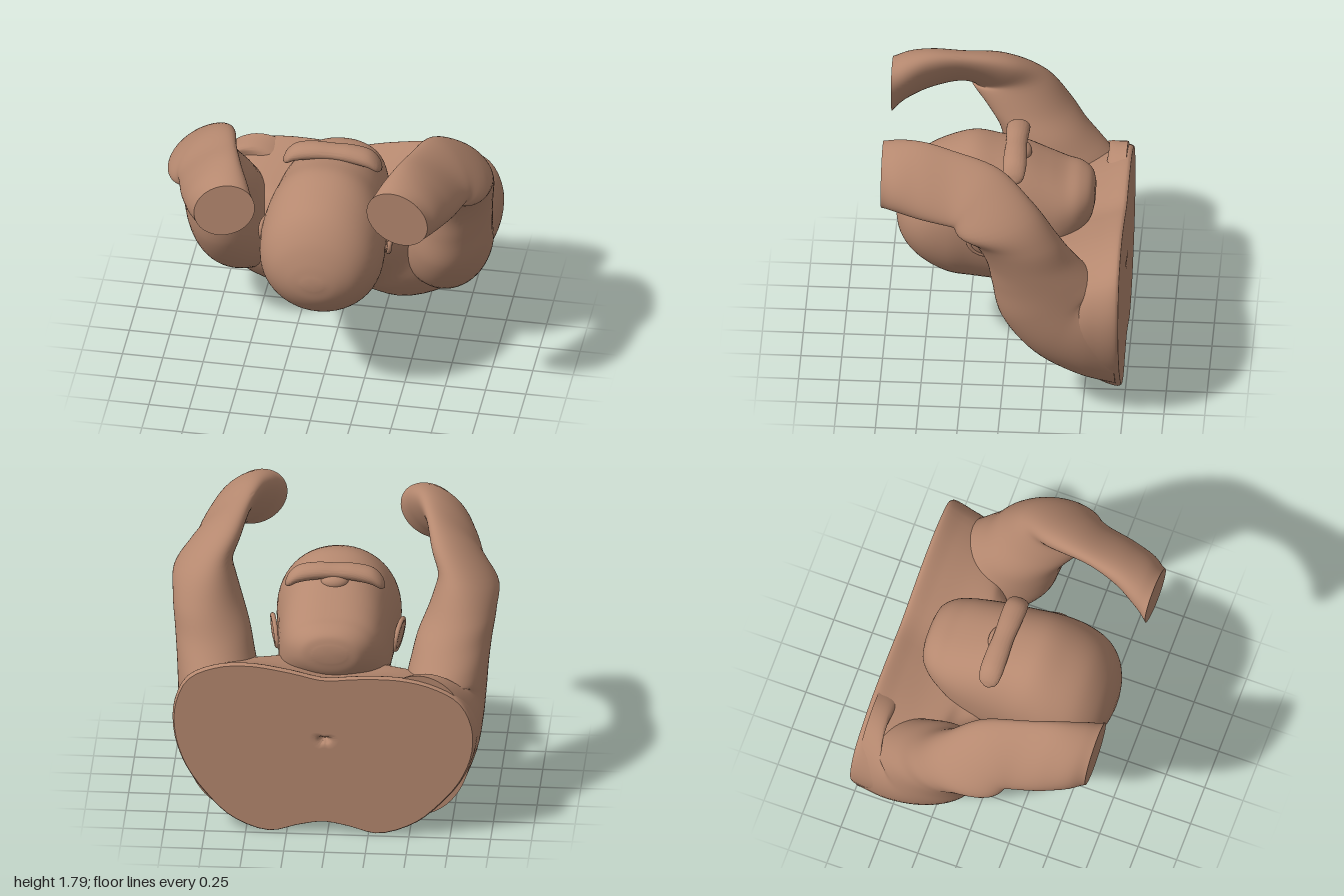
import * as THREE from 'three';
import { toCreasedNormals } from 'three/addons/utils/BufferGeometryUtils.js';

const V = (x, y, z) => new THREE.Vector3(x, y, z);
const SEG = 56;

// Smooth skin through rings of points, with flat fans closing the ends.
function loft(rings, steps = 6, capStart = true, capEnd = true) {
  const n = rings[0].length;
  const rows = (rings.length - 1) * steps;
  const pos = [];
  const idx = [];
  const curves = rings[0].map((_, j) => new THREE.CatmullRomCurve3(rings.map((r) => r[j])));
  for (let i = 0; i <= rows; i++) {
    for (let j = 0; j < n; j++) {
      const p = steps === 1 ? rings[i][j] : curves[j].getPoint(i / rows);
      pos.push(p.x, p.y, p.z);
    }
  }
  for (let i = 0; i < rows; i++) {
    for (let j = 0; j < n; j++) {
      const k = (j + 1) % n;
      const a = i * n + j, b = i * n + k, c = a + n, d = b + n;
      idx.push(a, c, b, b, c, d);
    }
  }
  const fan = (ring, base, flip) => {
    const c = ring.reduce((s, p) => s.add(p), V(0, 0, 0)).divideScalar(n);
    const ci = pos.length / 3;
    pos.push(c.x, c.y, c.z);
    for (let j = 0; j < n; j++) {
      const a = base + j, b = base + (j + 1) % n;
      idx.push(ci, flip ? b : a, flip ? a : b);
    }
  };
  if (capStart) fan(rings[0], 0, false);
  if (capEnd) fan(rings[rings.length - 1], rows * n, true);
  const g = new THREE.BufferGeometry();
  g.setAttribute('position', new THREE.Float32BufferAttribute(pos, 3));
  g.setIndex(idx);
  return toCreasedNormals(g, 0.8);
}

// Oval ring from a centre and two half-axes; power below 1 squares it off.
function oval(c, u, v, power = 1, dir = 1) {
  const bend = (t) => Math.sign(t) * Math.abs(t) ** power;
  return Array.from({ length: SEG }, (_, j) => {
    const a = dir * j / SEG * Math.PI * 2;
    return c.clone().addScaledVector(u, bend(Math.cos(a))).addScaledVector(v, bend(Math.sin(a)));
  });
}

export function createModel() {
  const group = new THREE.Group();
  const skin = new THREE.MeshStandardMaterial({ color: 0xb5886f });
  const add = (name, geometry, parent = group) => {
    const m = new THREE.Mesh(geometry, skin);
    m.name = name;
    parent.add(m);
    return m;
  };

  // Torso: a two-lobed outline, its chest slightly tilted, shrinking towards the neck
  const half = [[0, .07], [.15, .045], [.33, 0], [.55, .08], [.7, .22], [.83, .4], [.9, .6],
    [.9, .8], [.82, .97], [.65, 1.06], [.45, 1.09], [.2, 1.07], [0, 1.04]];
  const outline = [...half, ...half.slice(1, -1).reverse().map(([x, y]) => [-x, y])].reverse();
  const outlineCurve = new THREE.CatmullRomCurve3(outline.map(([x, y]) => V(x, y + .07 * x * y, 0)), true);
  const base = outlineCurve.getPoints(80).slice(0, 80);
  const torsoRing = ([z, lo, hi, w, shift = 0]) =>
    base.map((p) => V(p.x * w / .9 + shift, lo + p.y / 1.13 * (hi - lo), z));
  const waist = [-.73, .01, 1.12, .905, .025];
  add('torso', loft([
    waist, [-.71, 0, 1.13, .915, .025], [-.6, .04, 1.08, .915, .015], [-.45, .14, 1.02, .89],
    [-.31, .28, .98, .74], [-.22, .38, .96, .48], [-.1, .49, .94, .36], [0, .56, .9, .3],
  ].map(torsoRing), 6, false, true));

  // Waist cut with a small dimple in the middle
  const cut = torsoRing(waist);
  const mid = V(.02, .63, -.73);
  const dimple = [[.01, .05], [.025, .035], [.045, .008], [.065, 0], [.1, 0], [.5, 0], [1, 0]];
  add('waistCut', loft(dimple.map(([s, depth]) =>
    cut.map((p) => p.clone().sub(mid).multiplyScalar(s).add(mid).setZ(-.73 + depth))), 1, true, false));

  // Head: slices [z, bottom, top, half width, power] from chin to crown, face upwards
  add('head', loft([
    [-.537, 1.06, 1.17, .1, .95], [-.515, .98, 1.23, .18, .92], [-.45, .9, 1.27, .25, .88],
    [-.36, .8, 1.29, .295, .85], [-.25, .65, 1.34, .325, .83], [-.1, .53, 1.41, .345, .83],
    [.05, .53, 1.45, .36, .88], [.2, .545, 1.475, .375, .92], [.35, .57, 1.43, .38, .95],
    [.5, .645, 1.35, .345, 1], [.6, .74, 1.23, .265, 1], [.655, .83, 1.1, .16, 1], [.677, .92, 1, .06, 1],
  ].map(([z, lo, hi, w, power]) => oval(V(0, (lo + hi) / 2, z), V(w, 0, 0), V(0, (lo - hi) / 2, 0), power))));

  // Moustache drooping at both ends, and the nose
  add('moustache', loft([
    [-.305, 1.365, .012], [-.285, 1.385, .038], [-.23, 1.425, .05], [-.12, 1.45, .05], [0, 1.455, .046],
    [.12, 1.45, .05], [.23, 1.425, .05], [.285, 1.385, .038], [.305, 1.365, .012],
  ].map(([x, y, r]) => oval(V(x, y, -.055), V(0, 0, r * 1.4), V(0, r, 0)))));
  const nose = add('nose', new THREE.SphereGeometry(1, 24, 16));
  nose.scale.set(.085, .05, .06);
  nose.position.set(0, 1.4, -.09);

  // Arms: [centre, half-axis u, half-axis v]; the shoulder rings turn from facing
  // forwards inside the chest to facing upwards, then the elbow bends forwards again
  const armRings = [
    [[.55, .6, -.7], [.33, 0, 0], [0, -.47, 0]],
    [[.6, .63, -.53], [.32, 0, 0], [0, -.4, .06]],
    [[.65, .7, -.39], [.285, 0, 0], [0, -.28, .2]],
    [[.69, .82, -.3], [.255, 0, 0], [0, -.12, .305]],
    [[.715, .97, -.245], [.24, 0, 0], [0, -.03, .3]],
    [[.74, 1.12, -.18], [.23, 0, 0], [0, 0, .27]],
    [[.78, 1.29, -.09], [.21, 0, 0], [0, 0, .265]],
    [[.81, 1.44, .025], [.18, -.02, 0], [.04, -.06, .24]],
    [[.75, 1.545, .14], [.09, .06, 0], [.13, -.13, .14]],
    [[.71, 1.59, .31], [.06, .06, 0], [.17, -.165, 0]],
    [[.655, 1.605, .5], [.075, .08, 0], [.17, -.17, 0]],
    [[.59, 1.59, .65], [.13, .07, 0], [.14, -.17, 0]],
    [[.535, 1.56, .735], [.175, .03, 0], [.07, -.185, 0]],
  ];
  for (const [side, name, drop] of [[1, 'left', 0], [-1, 'right', .06]]) {
    const mirror = ([x, y, z]) => V(side * x, y, z);
    add(name + 'Arm', loft(armRings.map(([c, u, v]) => {
      const centre = mirror(c);
      centre.y -= drop * THREE.MathUtils.smoothstep(c[1], 1, 1.4);
      return oval(centre, mirror(u), mirror(v), 1, side);
    })));

    // Ear: a thin slanted shell with a raised rim, flared away from the head
    const ear = new THREE.Group();
    ear.name = name + 'Ear';
    const shell = add('earShell', new THREE.SphereGeometry(1, 24, 16), ear);
    shell.scale.set(.022, .07, .11);
    const rim = add('earRim', new THREE.TorusGeometry(.08, .015, 10, 32), ear);
    rim.rotation.y = Math.PI / 2;
    rim.scale.set(1.3, .9, 1);
    ear.position.set(side * .38, .955, .115);
    ear.rotation.set(-.5, side * .2, 0);
    group.add(ear);
  }
  return group;
}
